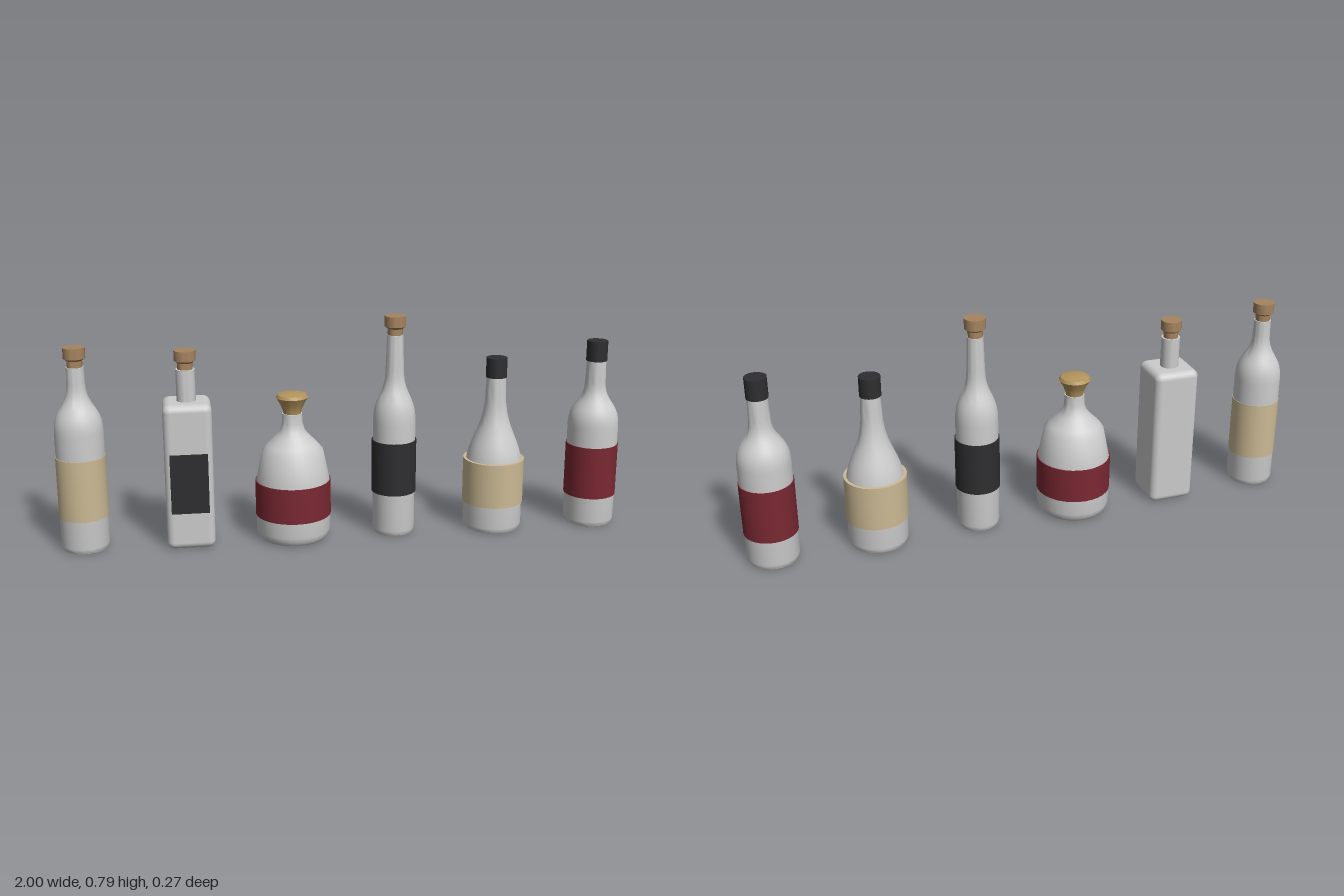
import * as THREE from 'three';
import { toCreasedNormals } from 'three/addons/utils/BufferGeometryUtils.js';
import { RoundedBoxGeometry } from 'three/addons/geometries/RoundedBoxGeometry.js';

const material = (color) => new THREE.MeshStandardMaterial({ color });
const glass = material(0xcccccc);
const cream = material(0xcbb994);
const red = material(0x7a2832);
const black = material(0x2e2e30);
const cork = material(0xa5835f);
const gold = material(0xb3945c);

const vec = (x, y) => new THREE.Vector2(x, y);

function part(name, geometry, mat, y = 0, z = 0) {
  const mesh = new THREE.Mesh(geometry, mat);
  mesh.name = name;
  mesh.position.set(0, y, z);
  return mesh;
}

// Closed solid of revolution, profile running bottom to top
function turned(name, profile, mat) {
  const points = [vec(0, profile[0].y), ...profile, vec(0, profile.at(-1).y)];
  return part(name, toCreasedNormals(new THREE.LatheGeometry(points, 32), 0.6), mat);
}

const band = (name, r, y0, y1, mat) => turned(name, [vec(r, y0), vec(r, y1)], mat);

// Cork with a narrow stem and a wide head
const stopper = (y0, y1, y2) =>
  turned('cork', [vec(0.026, y0 - 0.02), vec(0.026, y1 - 0.008), vec(0.037, y1), vec(0.037, y2)], cork);

// Rounded heel of a bottle: a quarter ellipse out to radius r
const heel = (r, w, h) =>
  [0, 1, 2, 3].map((i) => i * Math.PI / 6).map((a) => vec(r - w + w * Math.sin(a), h - h * Math.cos(a)));

// S-curved shoulder from radius r at y0 to the neck radius at y1
function shoulder(r, y0, neckR, y1) {
  const mid = (y0 + y1) / 2;
  return new THREE.CubicBezierCurve(vec(r, y0), vec(r, mid), vec(neckR, mid), vec(neckR, y1)).getPoints(10);
}

const roundBody = (r, y0, neckR, y1, topR, topY) =>
  turned('body', [...heel(r, 0.011, 0.02), ...shoulder(r, y0, neckR, y1), vec(topR, topY)], glass);

function bottle(name, x, ...parts) {
  const group = new THREE.Group();
  group.name = name;
  group.position.x = x;
  group.add(...parts);
  return group;
}

export function createModel() {
  const model = new THREE.Group();
  model.name = 'bottleRow';

  model.add(
    bottle('corkedBottle', -0.915,
      roundBody(0.083, 0.42, 0.031, 0.59, 0.03, 0.645),
      band('label', 0.085, 0.12, 0.335, cream),
      stopper(0.645, 0.675, 0.712)),

    bottle('squareBottle', -0.55,
      part('body', new RoundedBoxGeometry(0.166, 0.515, 0.166, 4, 0.025), glass, 0.2575),
      band('neck', 0.033, 0.5, 0.625, glass),
      part('label', new THREE.BoxGeometry(0.13, 0.21, 0.008), black, 0.24, 0.086),
      stopper(0.625, 0.655, 0.69)),

    bottle('wideDecanter', -0.187,
      turned('body', [...heel(0.13, 0.026, 0.035), vec(0.13, 0.21), vec(0.107, 0.322), vec(0.09, 0.343),
        vec(0.058, 0.375), vec(0.043, 0.395), vec(0.036, 0.42), vec(0.035, 0.455)], glass),
      band('label', 0.133, 0.09, 0.215, red),
      turned('flaredStopper', [vec(0.03, 0.44), vec(0.032, 0.465), vec(0.042, 0.488),
        vec(0.056, 0.512), vec(0.05, 0.522), vec(0.025, 0.529)], gold)),

    bottle('slimBottle', 0.174,
      roundBody(0.075, 0.41, 0.032, 0.6, 0.028, 0.72),
      band('label', 0.079, 0.155, 0.345, black),
      stopper(0.72, 0.75, 0.787)),

    bottle('slopingBottle', 0.54,
      roundBody(0.105, 0.18, 0.036, 0.51, 0.033, 0.56),
      band('label', 0.109, 0.1, 0.26, cream),
      band('cap', 0.037, 0.557, 0.627, black)),

    bottle('cappedBottle', 0.907,
      roundBody(0.09, 0.37, 0.036, 0.53, 0.034, 0.61),
      band('label', 0.093, 0.11, 0.3, red),
      band('cap', 0.037, 0.604, 0.676, black)));

  return model;
}
